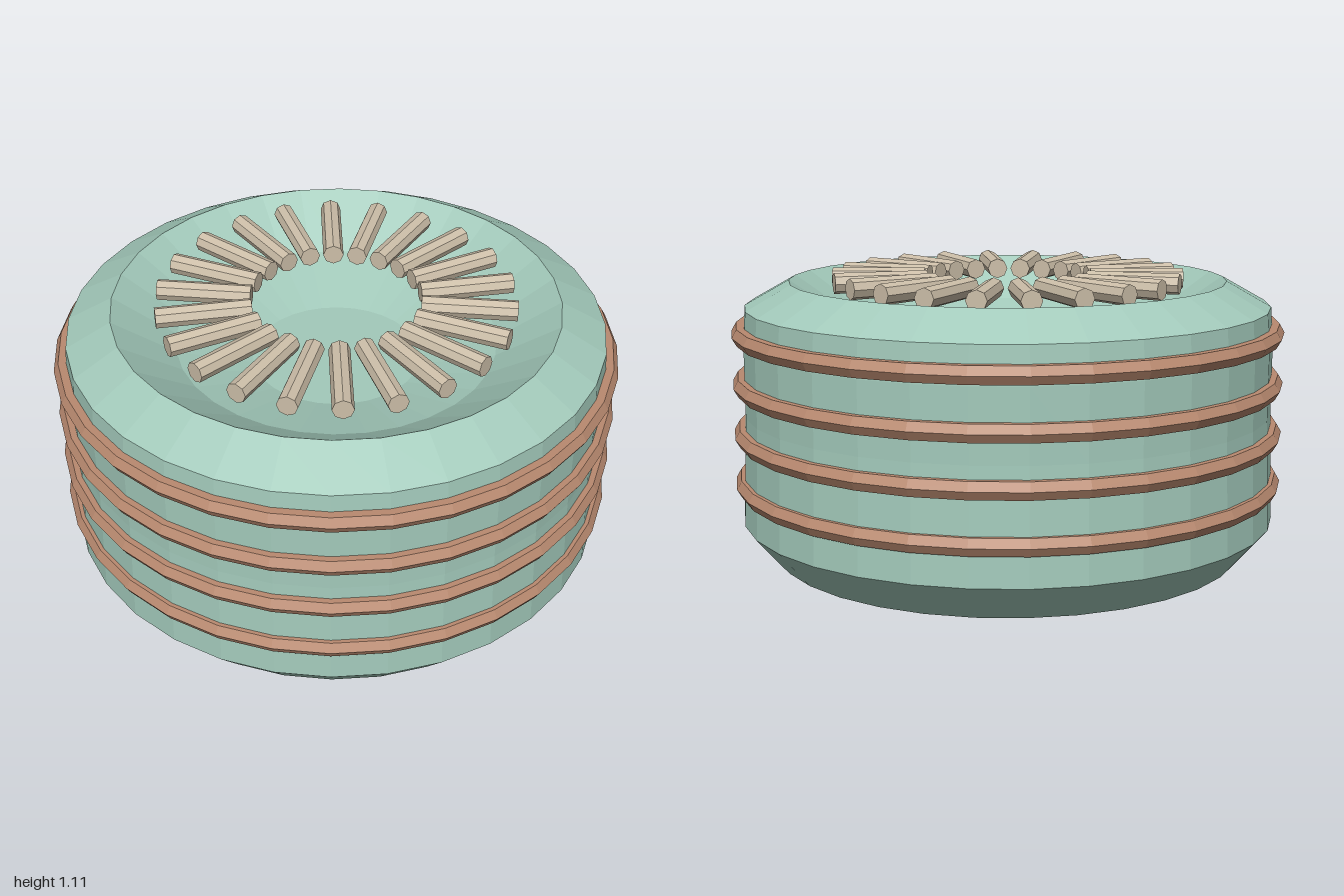
import * as THREE from 'three';

const SEGMENTS = 32;
const material = (color) => new THREE.MeshStandardMaterial({ color, flatShading: true });

export function createModel() {
  const model = new THREE.Group();
  model.name = 'ringedBowl';
  const green = material(0xa3cabb);
  const copper = material(0xb98a70);
  const cream = material(0xcdbfa9);

  // Squat round body with a bevelled rim and a shallow dished top
  const profile = [
    [0, 0], [0.45, 0], [0.86, 0.07], [0.975, 0.205], [0.97, 0.34],
    [0.96, 0.6], [0.96, 0.85], [0.95, 0.98], [0.79, 1.07],
    [0.57, 0.92], [0.3, 0.84], [0, 0.84],
  ].map(([r, y]) => new THREE.Vector2(r, y));
  const body = new THREE.Mesh(new THREE.LatheGeometry(profile, SEGMENTS), green);
  body.name = 'body';
  model.add(body);

  // Four bands around the side
  const bands = new THREE.Group();
  bands.name = 'bands';
  const bandGeometry = new THREE.TorusGeometry(0.965, 0.035, 6, SEGMENTS).rotateX(Math.PI / 2);
  for (let i = 0; i < 4; i++) {
    const band = new THREE.Mesh(bandGeometry, copper);
    band.name = 'band';
    band.position.y = 0.343 + i * 0.182;
    bands.add(band);
  }
  model.add(bands);

  // Radial rods floating level with the rim
  const rods = new THREE.Group();
  rods.name = 'rods';
  const rodCount = 22;
  const rodGeometry = new THREE.CylinderGeometry(0.037, 0.037, 0.335, 8)
    .rotateZ(Math.PI / 2)
    .translate(0.4675, 1.07, 0);
  for (let i = 0; i < rodCount; i++) {
    const rod = new THREE.Mesh(rodGeometry, cream);
    rod.name = 'rod';
    rod.rotation.y = (i / rodCount) * Math.PI * 2;
    rods.add(rod);
  }
  model.add(rods);

  return model;
}
